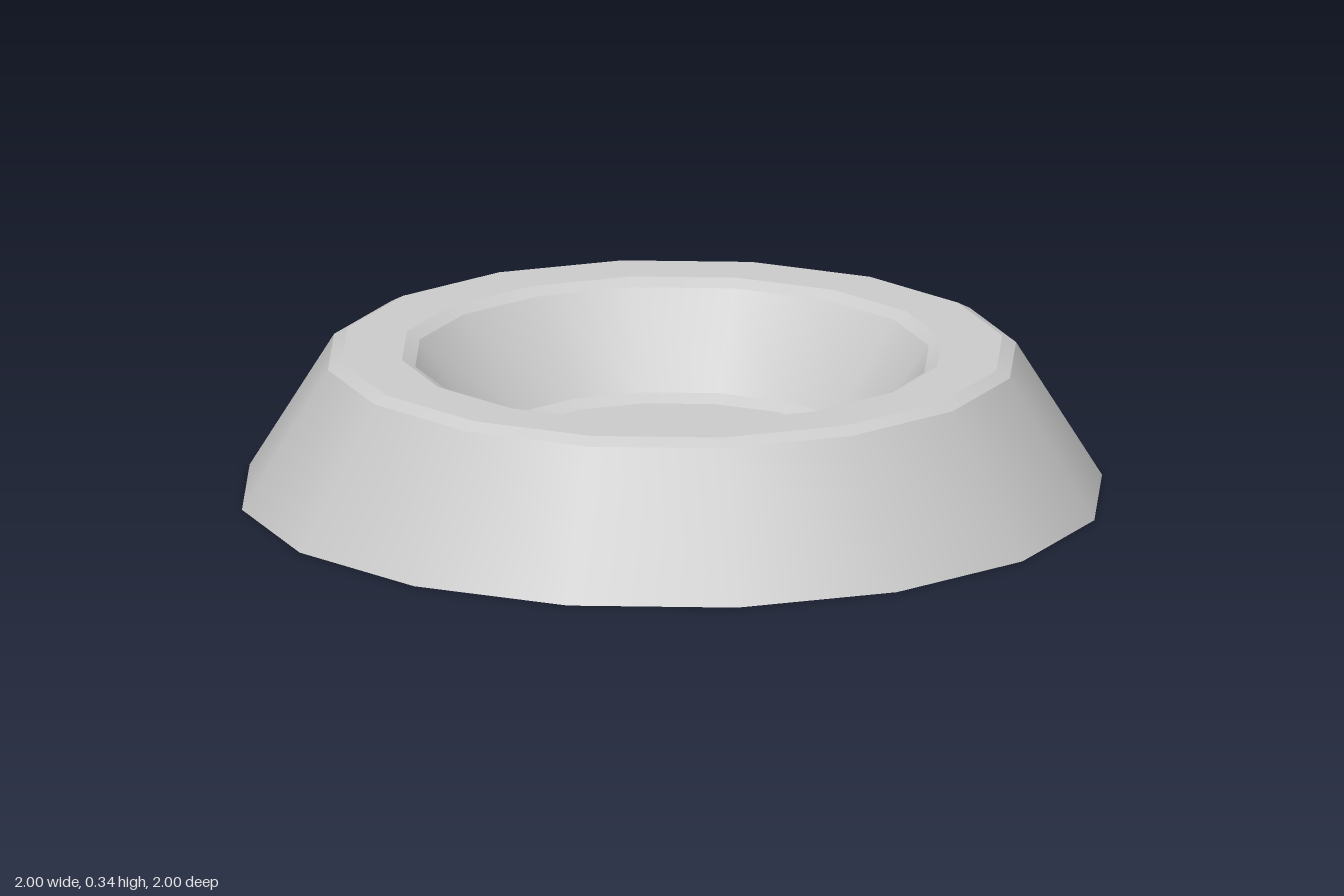
import * as THREE from 'three';
import { mergeGeometries } from 'three/addons/utils/BufferGeometryUtils.js';

const SIDES = 16;

// Revolve each profile segment separately: smooth around, crisp between bands
function banded(points) {
  const bands = [];
  for (let i = 0; i < points.length - 1; i++) {
    const pair = [points[i], points[i + 1]].map(([r, y]) => new THREE.Vector2(r, y));
    bands.push(new THREE.LatheGeometry(pair, SIDES));
  }
  return mergeGeometries(bands);
}

export function createModel() {
  const group = new THREE.Group();
  group.name = 'bowl';
  const material = new THREE.MeshStandardMaterial({ color: 0xcccccc });

  const add = (name, points) => {
    const mesh = new THREE.Mesh(banded(points), material);
    mesh.name = name;
    group.add(mesh);
  };

  // Flat underside and sloping outer wall
  add('outerBody', [[0, 0], [1, 0], [0.8, 0.325]]);
  // Flat rim with a bevel on both edges
  add('rim', [[0.8, 0.325], [0.768, 0.342], [0.628, 0.342], [0.597, 0.325]]);
  // Sloping inner wall, bottom bevel and floor
  add('basin', [[0.597, 0.325], [0.442, 0.117], [0.408, 0.1], [0, 0.1]]);

  return group;
}
